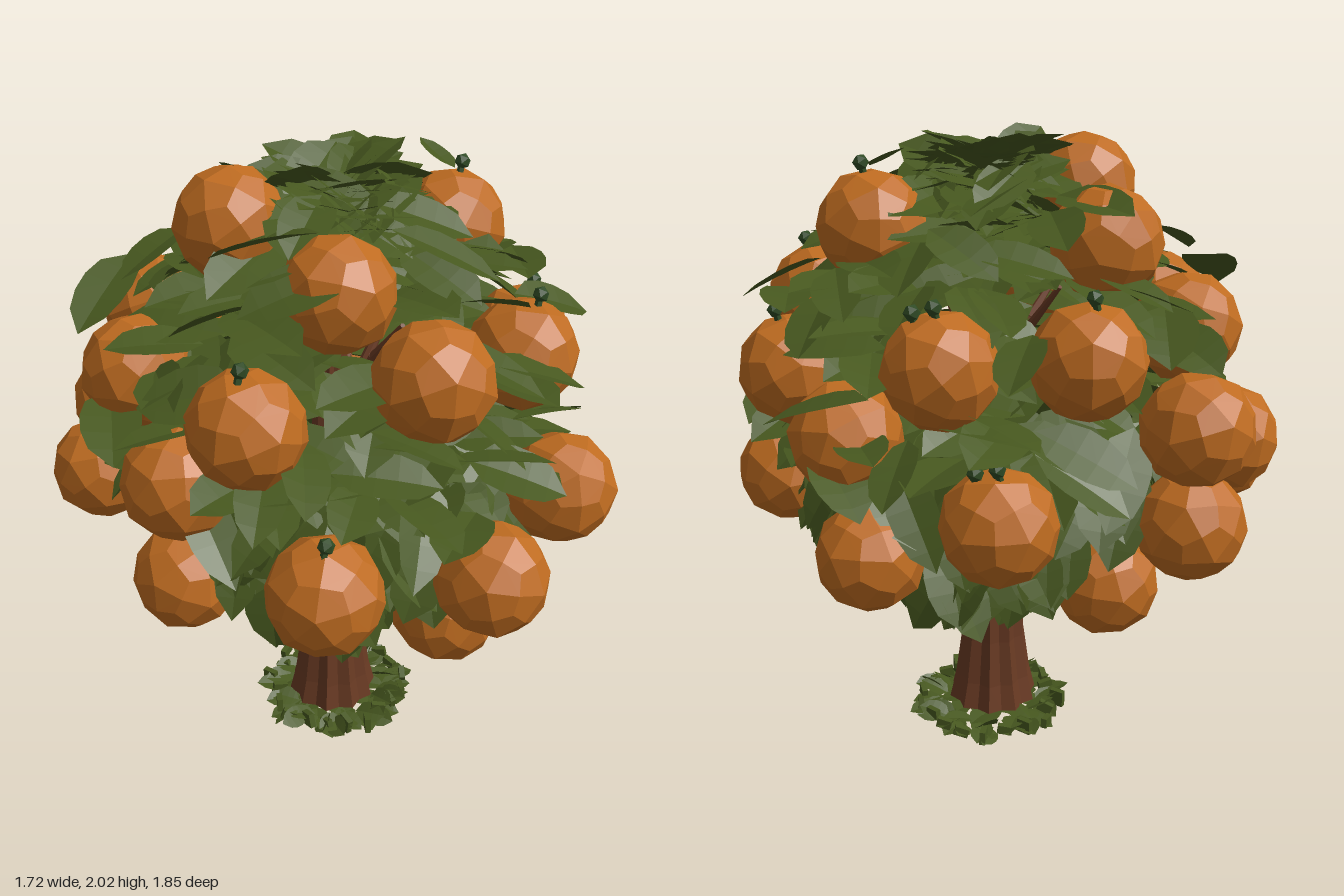
import * as THREE from 'three';
import { mergeGeometries } from 'three/addons/utils/BufferGeometryUtils.js';
import { ConvexGeometry } from 'three/addons/geometries/ConvexGeometry.js';

const V = (x, y, z) => new THREE.Vector3(x, y, z);
const UP = V(0, 1, 0);
const CENTRE = V(0, 1.15, 0);

// fruit centres; the fourth value is the number of stem buds
const FRUIT = [
  [-.26, 1.83, -.16, 0], [-.235, 1.72, .235, 0], [-.225, 1.57, .575, 0], [.355, 1.75, .15, 1], [-.015, 1.72, -.43, 0],
  [-.57, 1.43, .22, 1], [.25, 1.47, .52, 1], [.58, 1.34, .275, 1], [.53, 1.43, -.28, 2],
  [.25, 1.45, -.57, 1], [-.245, 1.45, -.57, 0], [-.55, 1.43, -.27, 0], [-.64, 1.2, 0, 0],
  [.63, 1.2, 0, 0], [-.01, 1.23, -.77, 0], [.23, 1.1, .71, 0], [-.56, 1.02, .5, 1],
  [-.13, .97, .74, 0], [.46, .93, .47, 0], [.53, 1.03, -.49, 2], [.6, .83, -.05, 0],
  [-.58, .81, -.07, 0], [-.33, 1.1, -.68, 0], [-.52, .97, -.55, 0], [-.04, .92, -.75, 0],
  [-.02, .67, .5, 0], [.03, .68, -.5, 0],
];
const FRUIT_R = .172;

function seeded(seed) {
  return () => {
    seed = (seed * 1664525 + 1013904223) % 4294967296;
    return seed / 4294967296;
  };
}

// faceted ball made of sixty kite-shaped faces
function fruitGeometry(radius) {
  const points = [];
  [
    [new THREE.IcosahedronGeometry(radius, 0), 1],
    [new THREE.IcosahedronGeometry(radius, 1), .975],
    [new THREE.DodecahedronGeometry(radius, 0).rotateX(Math.PI / 2), .957],
  ].forEach(([g, k]) => {
    const p = g.attributes.position;
    for (let i = 0; i < p.count; i++) points.push(new THREE.Vector3().fromBufferAttribute(p, i).multiplyScalar(k));
  });
  return new ConvexGeometry(points);
}

// broad oval leaf along +z, folded on its midrib and bent down at the tip
function leafGeometry(length, width, bend) {
  const g = new THREE.PlaneGeometry(1, 1, 2, 5).rotateX(-Math.PI / 2);
  const p = g.attributes.position;
  for (let i = 0; i < p.count; i++) {
    const t = p.getZ(i) + .5;
    const w = Math.sqrt(Math.max(0, Math.sin(Math.PI * Math.pow(t, .9))));
    const side = p.getX(i) * 2;
    p.setXYZ(i, side * w * width / 2, .1 * Math.abs(side) * w * width - bend * t * t * length, t * length);
  }
  return g;
}

// turn a +z leaf to point along dir with its face towards normal
function placeLeaf(g, base, dir, normal, roll) {
  const z = dir.clone().normalize();
  const x = normal.clone().cross(z).normalize();
  const y = z.clone().cross(x);
  g.rotateZ(roll);
  return g.applyMatrix4(new THREE.Matrix4().makeBasis(x, y, z).setPosition(base));
}

// tapering limb between two points
function limb(a, b, r0, r1, sides = 8) {
  const d = b.clone().sub(a);
  const g = new THREE.CylinderGeometry(r1, r0, d.length(), sides);
  g.applyQuaternion(new THREE.Quaternion().setFromUnitVectors(UP, d.clone().normalize()));
  const m = a.clone().add(b).multiplyScalar(.5);
  return g.translate(m.x, m.y, m.z);
}

// keep leaves from burying or covering a fruit
function hitsFruit(point, cover) {
  const p = point.clone().sub(CENTRE);
  return FRUIT.some(([x, y, z]) => {
    const o = V(x, y, z).sub(CENTRE);
    if (p.distanceTo(o) < FRUIT_R) return true;
    const along = p.dot(o) / o.length();
    const off = Math.sqrt(Math.max(0, p.lengthSq() - along * along));
    return along > o.length() && off < cover;
  });
}

export function createModel() {
  const tree = new THREE.Group();
  tree.name = 'orangeTree';
  const material = (name, color, side = THREE.FrontSide) => {
    const m = new THREE.MeshStandardMaterial({ color, flatShading: true, side });
    m.name = name;
    return m;
  };
  const bark = material('bark brown', 0x693a23);
  const peel = material('fruit orange', 0xbe6b20);
  const green = material('leaf green', 0x47581f, THREE.DoubleSide);
  const budGreen = material('bud green', 0x2f4a24);
  const add = (name, geometry, mat) => {
    const mesh = new THREE.Mesh(geometry, mat);
    mesh.name = name;
    tree.add(mesh);
  };

  // trunk: flared foot and alternating ribs
  const trunk = new THREE.LatheGeometry([
    [0, .045], [.145, .05], [.125, .14], [.104, .3], [.096, .5], [.092, .6], [.08, .85], [.06, 1.15], [.03, 1.5], [0, 1.5],
  ].map(([r, y]) => new THREE.Vector2(r, y)), 20);
  const tp = trunk.attributes.position;
  for (let i = 0; i < tp.count; i++) {
    const a = Math.atan2(tp.getZ(i), tp.getX(i));
    const k = 1 + .07 * Math.cos(10 * a);
    tp.setXYZ(i, tp.getX(i) * k - .015, tp.getY(i), tp.getZ(i) * k);
  }
  add('trunk', trunk, bark);

  // branches: whorls that bend outwards
  const branches = [];
  const whorl = (count, turn, y0, r1, y1, r2, y2, thick) => {
    for (let i = 0; i < count; i++) {
      const a = turn + i / count * Math.PI * 2;
      const at = (r, y) => V(Math.cos(a) * r, y, Math.sin(a) * r);
      const mid = at(r1, y1 + (i % 2) * .04);
      branches.push(limb(at(.05, y0), mid, thick, thick * .65));
      branches.push(limb(mid, at(r2, y2 + (i % 2) * .06), thick * .65, thick * .35));
    }
  };
  whorl(6, .25, .52, .27, .71, .52, .88, .04);
  whorl(5, .6, .95, .26, 1.12, .48, 1.22, .032);
  whorl(4, .1, 1.2, .18, 1.4, .3, 1.52, .024);
  add('branches', mergeGeometries(branches), bark);

  // fruit
  const fruitShape = fruitGeometry(FRUIT_R);
  const fruits = new THREE.Group();
  fruits.name = 'fruits';
  const buds = [];
  FRUIT.forEach(([x, y, z, budCount], i) => {
    const fruit = new THREE.Mesh(fruitShape, peel);
    fruit.name = 'fruit' + (i + 1);
    fruit.position.set(x, y, z);
    fruit.rotation.set(i * .7, i * 1.3, 0);
    fruits.add(fruit);
    for (let k = 0; k < budCount; k++) {
      const top = V(x * 1.06 + k * .02, y + FRUIT_R - .02 - k * .02, z * 1.06 + k * .06);
      const tip = top.clone().add(V(.01, .035, 0));
      buds.push(limb(top, tip, .012, .01, 5).toNonIndexed());
      buds.push(new THREE.IcosahedronGeometry(.025, 0).translate(tip.x, tip.y, tip.z));
    }
  });
  tree.add(fruits);
  add('stemBuds', mergeGeometries(buds), budGreen);

  // canopy leaves, set by their tips: nearly level above, hanging at the skirt
  const rand = seeded(11);
  const leaves = [];
  const reach = new THREE.SplineCurve([
    [.5, .54], [.62, .72], [.72, .9], [.83, 1.1], [.86, 1.3], [.82, 1.48], [.72, 1.63], [.56, 1.75], [.4, 1.85], [.24, 1.9],
  ].map(([r, y]) => new THREE.Vector2(r, y)));
  for (let i = 0; i < 1100; i++) {
    const { x: R, y } = reach.getPoint(rand());
    const a = i * 2.39996;
    const low = THREE.MathUtils.clamp((1.15 - y) / .45, 0, 1);
    const length = .25 + rand() * .11;
    const width = .14 + rand() * .05;
    const depth = Math.pow(rand(), 1.3) * (.5 - .3 * low);
    const tip = V(Math.cos(a), 0, Math.sin(a)).multiplyScalar(Math.max(.08, R - depth)).setY(y);
    const drift = a + (rand() - .5) * 2;
    const dir = V(Math.cos(drift), -.1 - 1.7 * low + (rand() - .5) * .6, Math.sin(drift)).normalize();
    const base = tip.clone().addScaledVector(dir, -length);
    const mid = base.clone().lerp(tip, .55);
    if (hitsFruit(mid, .12) || hitsFruit(tip, .1)) continue;
    const normal = UP.clone().add(V(Math.cos(a), 0, Math.sin(a)).multiplyScalar(.2 + low));
    leaves.push(placeLeaf(leafGeometry(length, width, .1), base, dir, normal, (rand() - .5) * .9));
  }
  // crown spray: base x, y, z, then heading and slope
  [
    [-.1, 1.93, .05, .1, -.12], [.02, 1.95, -.12, -.4, -.15], [0, 1.9, .15, .9, -.25], [.1, 1.88, -.2, -.2, -.1],
    [-.05, 1.86, -.05, 2.4, -.2], [.05, 1.85, -.3, -1.4, 0], [.15, 1.82, -.35, -.8, -.1], [0, 1.8, .25, 1.5, -.3],
  ].forEach(([x, y, z, heading, slope]) => {
    leaves.push(placeLeaf(leafGeometry(.3, .16, .08), V(x, y, z), V(Math.cos(heading), slope, Math.sin(heading)), UP, .3));
  });
  // small leaf standing on the top fruit
  leaves.push(placeLeaf(leafGeometry(.16, .08, -.1), V(.35, 1.925, .16), V(.05, .3, -1), UP, .1));
  add('leaves', mergeGeometries(leaves), green);

  // fallen leaves under and around the foot of the trunk
  const litter = [];
  for (let i = 0; i < 80; i++) {
    const a = i * 2.39996;
    const inner = i < 40;
    const r = inner ? i * .0045 : .14 + rand() * .05;
    const turn = a + (rand() - .5) * 2;
    const base = V(Math.cos(a) * r, .014 + rand() * .022, Math.sin(a) * r);
    const dir = V(Math.cos(turn), inner ? 0 : rand() * .4, Math.sin(turn));
    litter.push(placeLeaf(leafGeometry(.11, .075, .08), base, dir, UP, inner ? 0 : (rand() - .5) * 1.6));
  }
  // curled tufts on the rim
  for (let i = 0; i < 20; i++) {
    const a = i / 20 * Math.PI * 2;
    const r = .2 + rand() * .06;
    const tuft = new THREE.BoxGeometry(.05, .03 + rand() * .03, .02);
    tuft.rotateZ((rand() - .5) * .9).rotateY(rand() * 6).translate(Math.cos(a) * r, .04, Math.sin(a) * r);
    litter.push(tuft);
  }
  add('fallenLeaves', mergeGeometries(litter), green);

  return tree;
}
